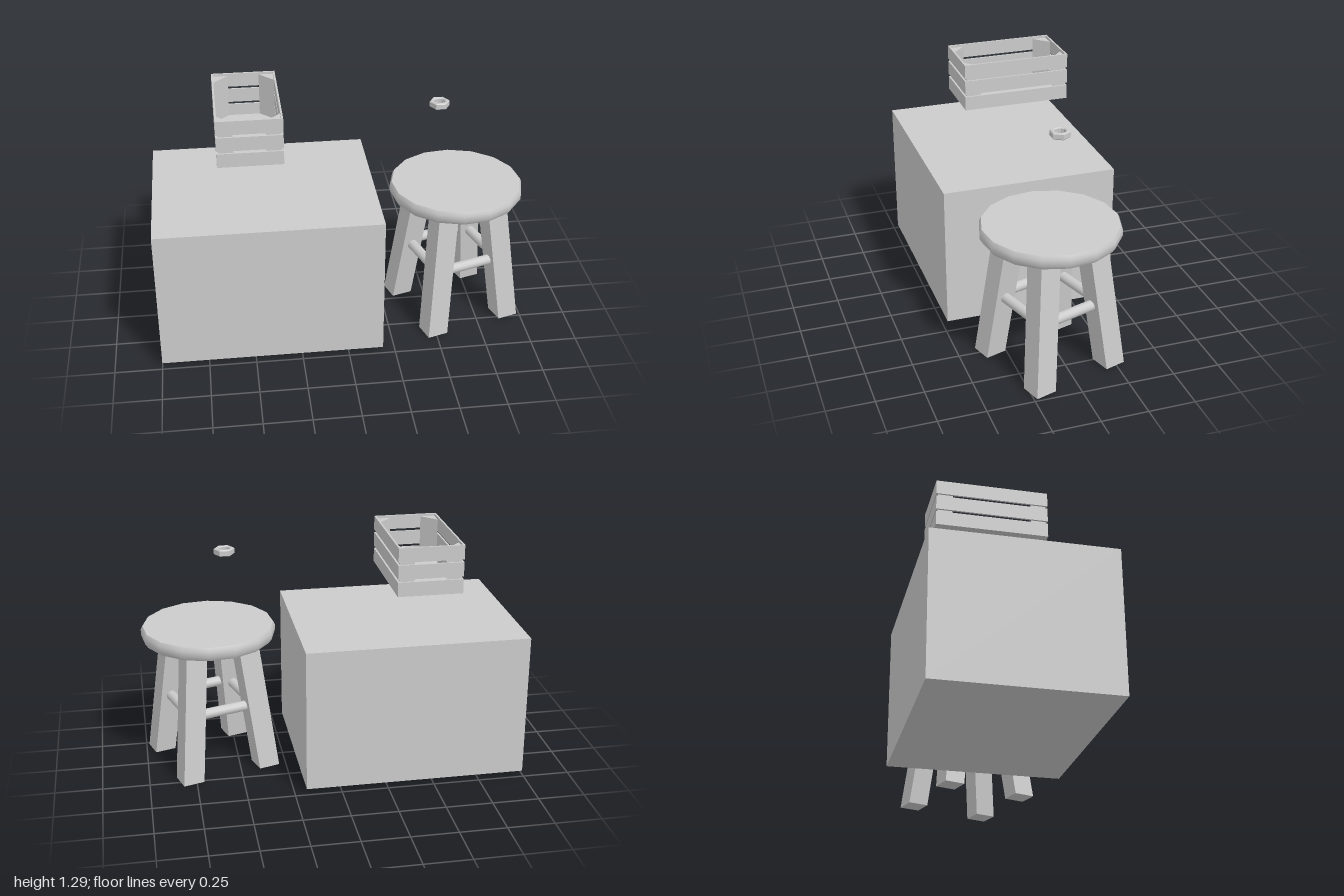
import * as THREE from 'three';
import { toCreasedNormals } from 'three/addons/utils/BufferGeometryUtils.js';

const material = new THREE.MeshStandardMaterial({ color: 0xcccccc });

function add(parent, name, geometry, x = 0, y = 0, z = 0) {
  const mesh = new THREE.Mesh(geometry, material);
  mesh.name = name;
  mesh.position.set(x, y, z);
  parent.add(mesh);
  return mesh;
}

function box(parent, name, w, h, d, x, y, z) {
  return add(parent, name, new THREE.BoxGeometry(w, h, d), x, y, z);
}

// Upright prism from a flat outline in x and z, rising from y = 0
function prism(points, height) {
  const shape = new THREE.Shape(points.map(([x, z]) => new THREE.Vector2(x, -z)));
  return new THREE.ExtrudeGeometry(shape, { depth: height, bevelEnabled: false }).rotateX(-Math.PI / 2);
}

function createStool() {
  const stool = new THREE.Group();
  stool.name = 'stool';

  // Sixteen-sided seat with eased edges
  const profile = [[0, 0.715], [0.345, 0.715], [0.36, 0.738], [0.36, 0.77], [0.35, 0.79], [0, 0.79]]
    .map(([r, y]) => new THREE.Vector2(r, y));
  const seat = new THREE.LatheGeometry(profile, 16, THREE.MathUtils.degToRad(-21));
  add(stool, 'seat', toCreasedNormals(seat, 0.7));

  // Square legs, sheared so they splay outwards towards the floor
  const legHeight = 0.72, legWidth = 0.115, footOffset = 0.2215, splay = 0.106;
  for (const sx of [-1, 1]) for (const sz of [-1, 1]) {
    const leg = new THREE.BoxGeometry(legWidth, legHeight, legWidth).translate(0, legHeight / 2, 0);
    const p = leg.attributes.position;
    for (let i = 0; i < p.count; i++) {
      const offset = footOffset - splay * p.getY(i);
      p.setX(i, p.getX(i) + sx * offset);
      p.setZ(i, p.getZ(i) + sz * offset);
    }
    leg.computeVertexNormals();
    add(stool, 'leg', leg);
  }

  // Four round rungs joining neighbouring legs
  const rungY = 0.352, reach = footOffset - splay * rungY;
  for (const s of [-1, 1]) {
    const rung = () => new THREE.CylinderGeometry(0.028, 0.028, reach * 2, 12);
    add(stool, 'rung', rung().rotateZ(Math.PI / 2), 0, rungY, s * reach);
    add(stool, 'rung', rung().rotateX(Math.PI / 2), s * reach, rungY, 0);
  }

  stool.position.set(0.636, 0, 0.05);
  // Legs sit at an angle to the room; the seat angle above allows for it
  stool.rotation.y = 0.3;
  return stool;
}

function createCrate() {
  const crate = new THREE.Group();
  crate.name = 'crate';
  const w = 0.345, d = 0.59, t = 0.01, slat = 0.077, pitch = 0.0915;

  // Three rows of slats around the four sides
  for (let row = 0; row < 3; row++) {
    const y = slat / 2 + row * pitch;
    for (const s of [-1, 1]) {
      box(crate, 'sideSlat', t, slat, d, s * (w - t) / 2, y, 0);
      box(crate, 'endSlat', w - 2 * t, slat, t, 0, y, s * (d - t) / 2);
    }
  }
  box(crate, 'floor', w - 2 * t, 0.012, d - 2 * t, 0, 0.006, 0);

  // Triangular corner posts inside the slats
  const leg = 0.078, ix = w / 2 - t, iz = d / 2 - t;
  for (const sx of [-1, 1]) for (const sz of [-1, 1]) {
    const outline = [[sx * ix, sz * iz], [sx * (ix - leg), sz * iz], [sx * ix, sz * (iz - leg)]];
    add(crate, 'cornerPost', prism(outline, 0.235), 0, 0.012, 0);
  }

  crate.position.set(-0.4775, 1.035, -0.085);
  return crate;
}

function createNut() {
  // Hexagon with a round hole and slightly bevelled rims
  const ring = (r, n) => Array.from({ length: n }, (_, i) =>
    new THREE.Vector2(r * Math.cos(i * 2 * Math.PI / n), r * Math.sin(i * 2 * Math.PI / n)));
  const shape = new THREE.Shape(ring(0.048, 6));
  shape.holes.push(new THREE.Path(ring(0.035, 12).reverse()));
  return new THREE.ExtrudeGeometry(shape, {
    depth: 0.025, bevelEnabled: true, bevelThickness: 0.005, bevelSize: 0.005, bevelSegments: 1,
  }).rotateX(-Math.PI / 2);
}

export function createModel() {
  const model = new THREE.Group();
  model.name = 'furnitureSet';
  box(model, 'block', 1.186, 0.777, 0.95, -0.407, 0.4085, 0);
  model.add(createStool(), createCrate());
  add(model, 'hexNut', createNut(), 0.543, 1.205, -0.028);
  return model;
}
